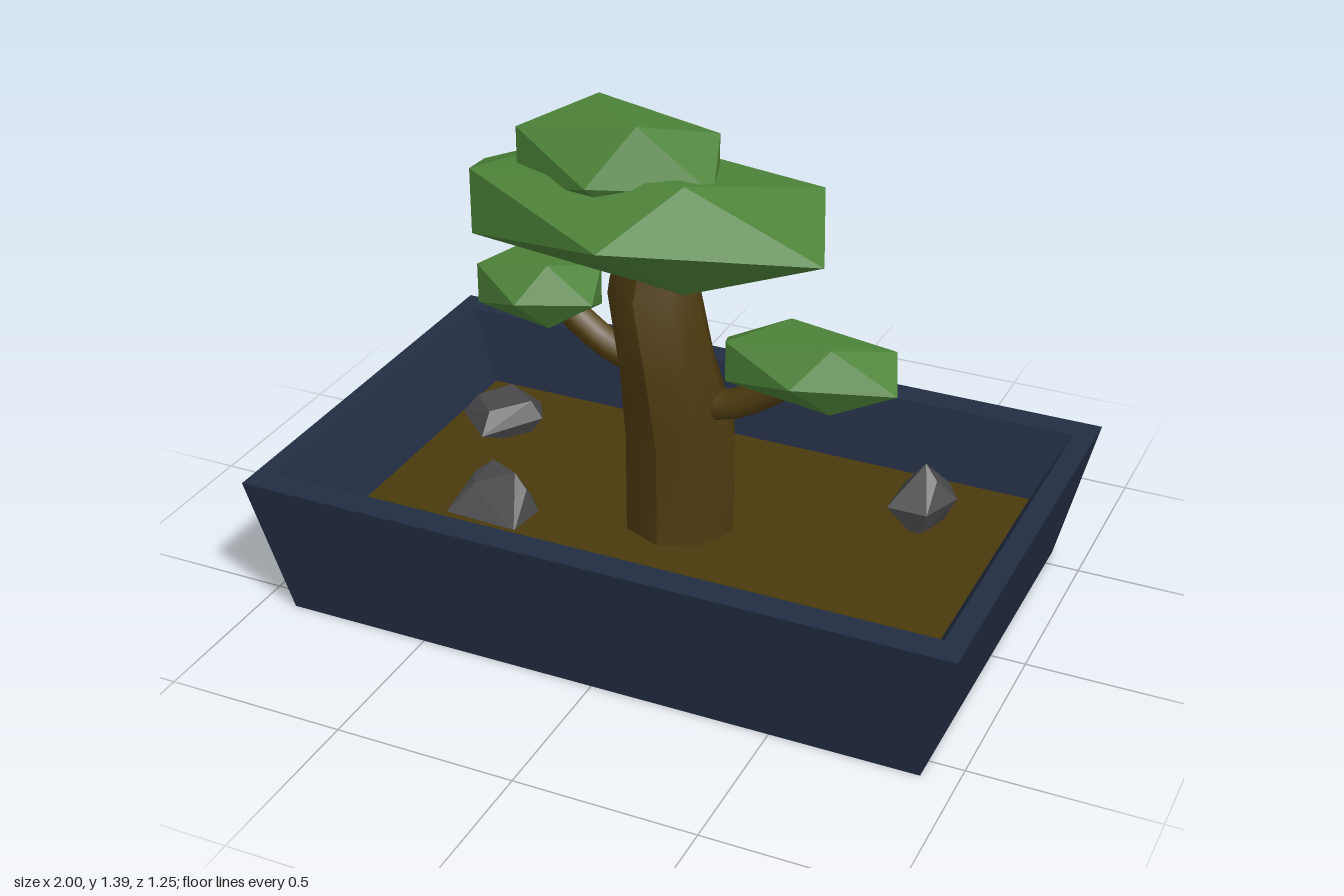
import * as THREE from 'three';
import { ConvexGeometry } from 'three/addons/geometries/ConvexGeometry.js';

const mat = (name, color) => Object.assign(new THREE.MeshStandardMaterial({ color }), { name });

export function createModel() {
  const model = new THREE.Group();
  const glaze = mat('navy glaze', 0x222d43);
  const earth = mat('soil brown', 0x4a390c);
  const bark = mat('bark brown', 0x4f3b10);
  const leaf = mat('leaf green', 0x4c8238);
  const stone = mat('stone grey', 0x48484a);

  const add = (name, geometry, material) => {
    const mesh = new THREE.Mesh(geometry, material);
    mesh.name = name;
    model.add(mesh);
    return mesh;
  };

  // Pot walls: rectangular loops (half width, half depth, height) from foot over the rim to the soil
  const loops = [[0.905, 0.565, 0], [1, 0.625, 0.4], [0.94, 0.545, 0.4], [0.845, 0.492, 0.2]];
  const corners = [[1, 1], [1, -1], [-1, -1], [-1, 1]];
  const potPos = [];
  const corner = (i, j) => {
    const [w, d, y] = loops[i], [sx, sz] = corners[j % 4];
    return [w * sx, y, d * sz];
  };
  for (let i = 0; i < loops.length - 1; i++) {
    for (let j = 0; j < 4; j++) {
      const a = corner(i, j), b = corner(i, j + 1), c = corner(i + 1, j + 1), d = corner(i + 1, j);
      potPos.push(...a, ...b, ...c, ...a, ...c, ...d);
    }
  }
  const potGeo = new THREE.BufferGeometry();
  potGeo.setAttribute('position', new THREE.Float32BufferAttribute(potPos, 3));
  potGeo.computeVertexNormals();
  add('potWalls', potGeo, glaze);
  add('potBase', new THREE.PlaneGeometry(1.81, 1.13).rotateX(Math.PI / 2), glaze);
  add('soil', new THREE.PlaneGeometry(1.69, 0.984).rotateX(-Math.PI / 2).translate(0, 0.2, 0), earth);

  // Trunk: leaning eight-sided rings (x, y, z, radius)
  const rings = [
    [0, 0.2, 0.003, 0.157], [0, 0.49, 0.003, 0.157], [-0.005, 0.73, 0.08, 0.132],
    [-0.05, 0.93, 0.065, 0.126], [-0.04, 1.05, 0.055, 0.1],
  ];
  const trunkGeo = new THREE.CylinderGeometry(1, 1, 1, 8, rings.length - 1, true);
  const tp = trunkGeo.attributes.position;
  for (let i = 0; i < tp.count; i++) {
    const row = Math.round((tp.getY(i) + 0.5) * (rings.length - 1));
    const [x, y, z, r] = rings[row];
    tp.setXYZ(i, x + tp.getX(i) * r, y, z + tp.getZ(i) * r);
  }
  trunkGeo.computeVertexNormals();
  add('trunk', trunkGeo, bark);

  // Branches
  const branch = (name, points) => {
    const curve = new THREE.CatmullRomCurve3(points.map((p) => new THREE.Vector3(...p)));
    add(name, new THREE.TubeGeometry(curve, 6, 0.042, 7, false), bark);
  };
  branch('leftBranch', [[0.05, 0.6, 0.05], [0.15, 0.61, 0.045], [0.25, 0.66, 0.045], [0.4, 0.78, 0.05]]);
  branch('rightBranch', [[-0.05, 0.69, 0.06], [-0.15, 0.71, 0.055], [-0.24, 0.76, 0.055], [-0.36, 0.86, 0.055]]);

  // Foliage: stretched icosahedra with their poles along z
  const foliage = (name, [x, y, z], [a, b, c]) => {
    const pts = [new THREE.Vector3(x, y, z + c), new THREE.Vector3(x, y, z - c)];
    for (const side of [1, -1]) {
      for (let k = 0; k < 5; k++) {
        const t = (k * Math.PI * 2) / 5;
        pts.push(new THREE.Vector3(x + side * a * Math.cos(t), y + b * Math.sin(t), z + side * c * 0.447));
      }
    }
    add(name, new ConvexGeometry(pts), leaf);
  };
  foliage('mainCanopy', [-0.087, 1.12, 0.028], [0.547, 0.157, 0.298]);
  foliage('topCanopy', [-0.167, 1.24, 0.025], [0.307, 0.153, 0.195]);
  foliage('leftCanopy', [0.39, 0.782, 0.055], [0.26, 0.097, 0.145]);
  foliage('rightCanopy', [-0.39, 0.862, 0.055], [0.188, 0.097, 0.145]);

  // Rocks: faceted hulls resting in the soil
  const rock = (name, pts) =>
    add(name, new ConvexGeometry(pts.map((p) => new THREE.Vector3(...p))), stone);
  rock('backRightRock', [
    [-0.71, 0.24, -0.38], [-0.62, 0.24, -0.36], [-0.565, 0.25, -0.26], [-0.69, 0.23, -0.12],
    [-0.805, 0.24, -0.22], [-0.79, 0.24, -0.31], [-0.77, 0.17, -0.25], [-0.62, 0.17, -0.25],
    [-0.7, 0.3, -0.33], [-0.6, 0.3, -0.26], [-0.69, 0.29, -0.17], [-0.77, 0.29, -0.25],
  ]);
  rock('backLeftRock', [
    [0.535, 0.27, -0.33], [0.65, 0.27, -0.37], [0.7, 0.28, -0.28], [0.65, 0.27, -0.175],
    [0.535, 0.27, -0.175], [0.57, 0.17, -0.31], [0.65, 0.17, -0.3], [0.62, 0.17, -0.2],
    [0.61, 0.375, -0.27], [0.65, 0.34, -0.25],
  ]);
  rock('frontRightRock', [
    [-0.61, 0.19, 0.25], [-0.385, 0.19, 0.26], [-0.37, 0.19, 0.13], [-0.43, 0.19, 0.06],
    [-0.57, 0.19, 0.07], [-0.57, 0.28, 0.13], [-0.53, 0.31, 0.1], [-0.44, 0.31, 0.14],
    [-0.4, 0.27, 0.15], [-0.55, 0.27, 0.18],
  ]);

  return model;
}
